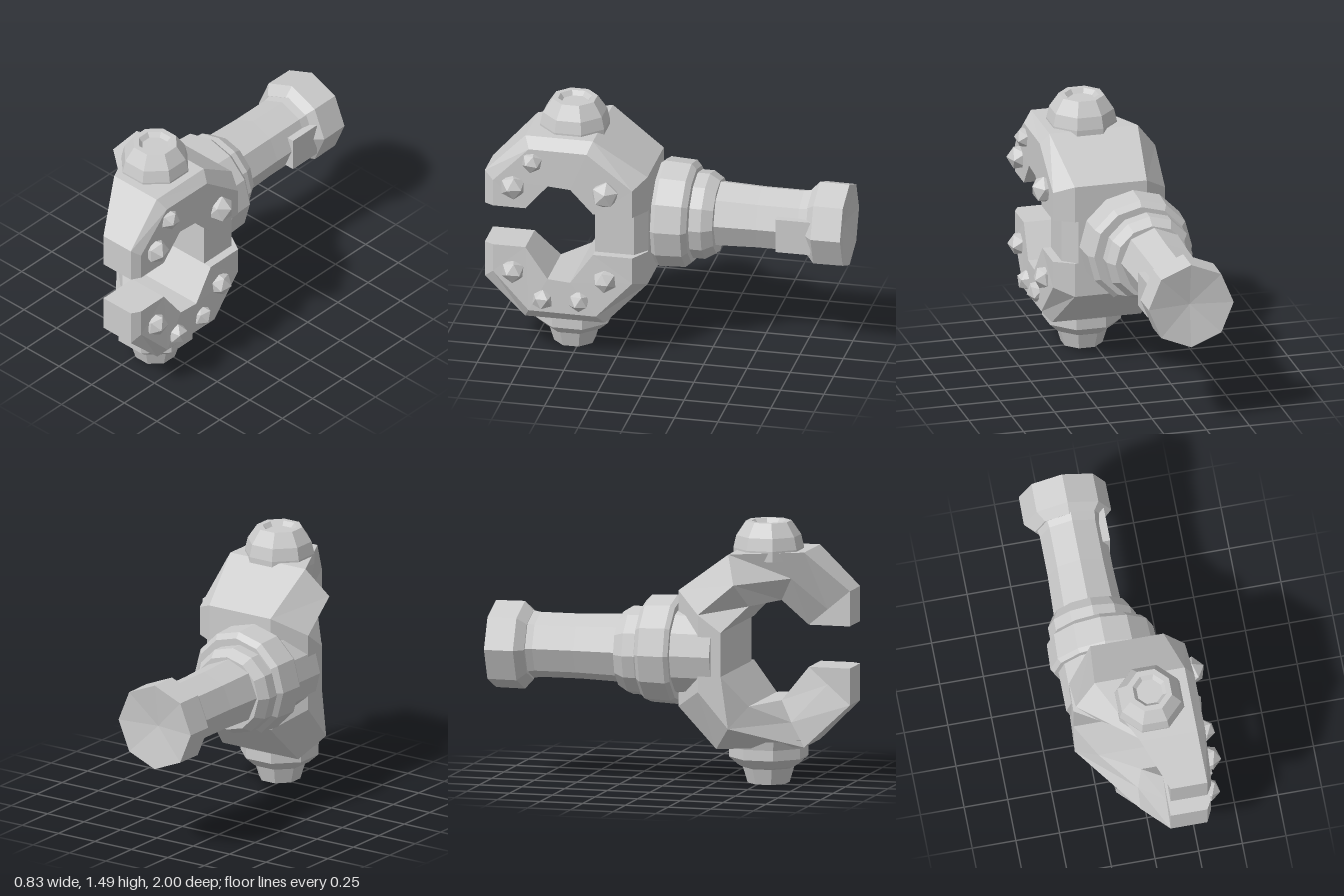
import * as THREE from 'three';

const material = new THREE.MeshStandardMaterial({ color: 0xcccccc, flatShading: true });

function addMesh(parent, name, geometry) {
  const mesh = new THREE.Mesh(geometry, material);
  mesh.name = name;
  parent.add(mesh);
  return mesh;
}

// Faceted turned part; profile is [radius, height] from bottom to top
function turned(parent, name, profile, sides, turn = 0) {
  const points = profile.map(([r, h]) => new THREE.Vector2(r, h));
  const geometry = new THREE.LatheGeometry(points, sides);
  geometry.rotateY(turn);
  return addMesh(parent, name, geometry);
}

// Left side x at the inner edge, middle and outer edge of each kind of section
const tipLeft = [0.09, 0.09, 0.09];
const armLeft = [-0.01, -0.04, -0.04];
const bendLeft = [-0.23, -0.35, -0.23];
const backLeft = [-0.35, -0.35, -0.2];

// Stations along the C: inner [z, y], outer [z, y], left xs, right x, right outer chamfer
const stations = [
  [[0.76, 0.90], [1.00, 0.90], tipLeft, 0.33, 0.03],
  [[0.76, 0.90], [1.00, 1.10], tipLeft, 0.33, 0.03],
  [[0.63, 1.05], [0.77, 1.33], armLeft, 0.335, 0.05],
  [[0.50, 1.04], [0.38, 1.33], bendLeft, 0.335, 0.05],
  [[0.37, 0.90], [0.08, 1.11], backLeft, 0.33, 0.11],
  [[0.37, 0.90], [0.08, 0.90], backLeft, 0.33, 0.11],
  [[0.37, 0.90], [0.08, 0.90], backLeft, 0.28, 0.08],
  [[0.37, 0.65], [0.08, 0.65], backLeft, 0.28, 0.08],
  [[0.37, 0.65], [0.08, 0.65], backLeft, 0.33, 0.11],
  [[0.37, 0.65], [0.08, 0.45], backLeft, 0.33, 0.11],
  [[0.50, 0.47], [0.31, 0.22], bendLeft, 0.34, 0.05],
  [[0.63, 0.48], [0.77, 0.22], armLeft, 0.34, 0.05],
  [[0.76, 0.66], [1.00, 0.45], tipLeft, 0.33, 0.03],
  [[0.76, 0.66], [1.00, 0.66], tipLeft, 0.33, 0.03],
];

function jawGeometry() {
  const positions = [];
  const index = [];
  const n = 6;
  for (const [inner, outer, left, right, chamfer] of stations) {
    const put = (t, x) => positions.push(
      x,
      inner[1] + (outer[1] - inner[1]) * t,
      inner[0] + (outer[0] - inner[0]) * t,
    );
    put(0, left[0]); put(0.46, left[1]); put(1, left[2]);
    put(1, right - chamfer); put(0.78, right); put(0, right);
  }
  for (let s = 0; s < stations.length - 1; s++) {
    for (let i = 0; i < n; i++) {
      const a = s * n + i, b = s * n + (i + 1) % n;
      index.push(a, b, b + n, a, b + n, a + n);
    }
  }
  // End faces of the two tips
  const last = (stations.length - 1) * n;
  for (let i = 1; i < n - 1; i++) {
    index.push(0, i + 1, i, last, last + i, last + i + 1);
  }
  const geometry = new THREE.BufferGeometry();
  geometry.setAttribute('position', new THREE.Float32BufferAttribute(positions, 3));
  geometry.setIndex(index);
  const flat = geometry.toNonIndexed();
  flat.computeVertexNormals();
  return flat;
}

export function createModel() {
  const model = new THREE.Group();
  model.name = 'clawArm';

  addMesh(model, 'jaw', jawGeometry());

  // Octagonal bolts above and below the jaw
  const k = 1 / Math.cos(Math.PI / 8);
  const topBolt = turned(model, 'topBolt', [
    [0.185 * k, 1.28], [0.185 * k, 1.34], [0.17 * k, 1.41],
    [0.12 * k, 1.49], [0.09 * k, 1.49], [0.07 * k, 1.465], [0, 1.465],
  ], 8, Math.PI / 8);
  topBolt.position.set(0.055, 0, 0.535);

  const bottomBolt = turned(model, 'bottomBolt', [
    [0, 0.005], [0.11 * k, 0], [0.135 * k, 0.09], [0.155 * k, 0.1],
    [0.208 * k, 0.15], [0.208 * k, 0.21], [0.22 * k, 0.26],
  ], 8, Math.PI / 8);
  bottomBolt.position.set(0.055, 0, 0.535);

  // Arm parts turned about z; heights run from back to front
  const armParts = [
    ['innerCollar', -0.13, 0.76, 12, [[0.25, -0.02], [0.25, 0.31], [0, 0.31]]],
    ['wideFlange', -0.11, 0.76, 12, [
      [0, -0.13], [0.275, -0.13], [0.305, -0.1], [0.312, 0.05], [0.295, 0.075], [0, 0.08]]],
    ['narrowFlange', -0.138, 0.75, 12, [
      [0, -0.26], [0.215, -0.26], [0.252, -0.2], [0.252, -0.13], [0.23, -0.08]]],
    ['shaft', -0.15, 0.76, 8, [
      [0.2, -0.82], [0.185, -0.74], [0.185, -0.5], [0.195, -0.24]]],
    ['endKnob', -0.16, 0.755, 8, [
      [0, -0.965], [0.248, -1], [0.25, -0.83], [0.195, -0.78], [0, -0.78]]],
  ];
  for (const [name, x, y, sides, profile] of armParts) {
    const part = turned(model, name, profile, sides);
    part.geometry.rotateX(Math.PI / 2);
    part.position.set(x, y, 0);
  }

  // Raised plate beside the knob
  const plate = addMesh(model, 'shaftPlate', new THREE.BoxGeometry(0.06, 0.2, 0.2));
  plate.position.set(0.015, 0.74, -0.72);

  // Faceted studs on the right-hand face: z, y, radius
  const studs = [
    [0.83, 1.03, 0.075], [0.72, 1.19, 0.062], [0.30, 1.03, 0.082],
    [0.83, 0.51, 0.07], [0.66, 0.35, 0.064], [0.45, 0.36, 0.064], [0.30, 0.50, 0.07],
  ];
  studs.forEach(([z, y, r], i) => {
    const stud = addMesh(model, 'stud', new THREE.IcosahedronGeometry(r, 0));
    stud.position.set(0.335, y, z);
    stud.rotation.set(i * 0.9, 0.3, i * 0.4);
  });

  return model;
}
